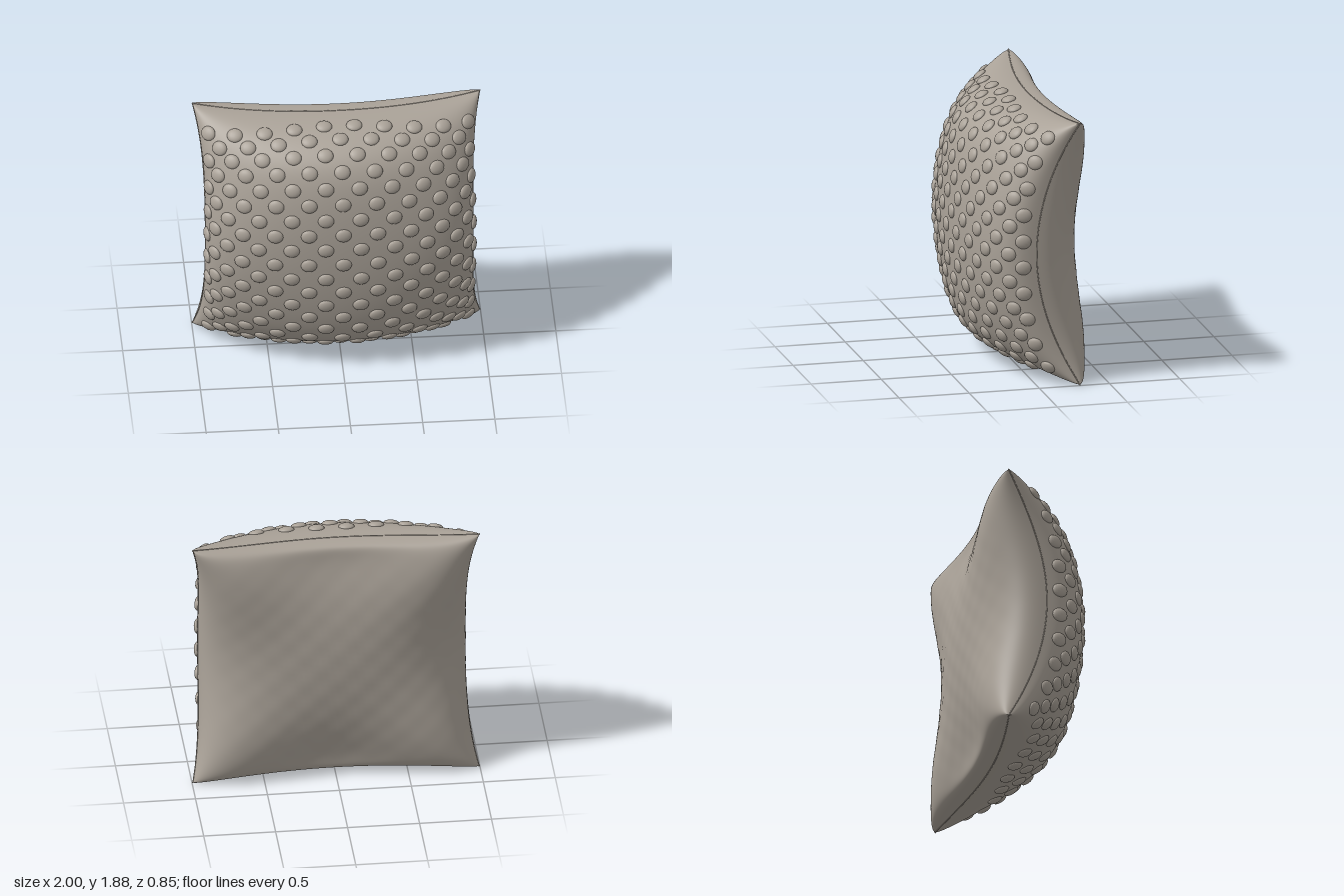
import * as THREE from 'three';

const SEG = 96;          // grid steps per cloth panel
const mix = (a, b, t) => a + (b - a) * t;

// A point on the cushion: u, v run -1..1 across the panel, seam at the rim
function cushionPoint(u, v, front) {
  const uu = u * u, vv = v * v;
  const x = u * (0.927 + 0.067 * vv * vv * uu);
  const y = 0.944 + v * (0.904 + 0.03 * uu * uu * vv);
  const seam = -0.29 * uu * vv - 0.17 * v ** 10 * (1 - uu);
  const fill = Math.max(0, (1 - uu) * (1 - vv));
  let z;
  if (front) {
    z = seam + 0.405 * fill ** 0.33;
  } else {
    // rounded back, fuller along the diagonals, with a faint quilted imprint
    const quilt = 0.003 * Math.cos(u * 26) * Math.cos(v * 26) * fill;
    z = seam - 0.425 * fill ** 0.35 - 0.9 * uu * vv * fill + quilt;
  }
  return new THREE.Vector3(x, y, z);
}

// Grid lines crowd toward the rim, where the cloth turns steeply
const ease = (s) => Math.sign(s) * (1 - (1 - Math.abs(s)) ** 2.2);

function panelGeometry(front) {
  const pos = [], idx = [], n = SEG + 1;
  for (let j = 0; j <= SEG; j++) {
    for (let i = 0; i <= SEG; i++) {
      const p = cushionPoint(ease((2 * i) / SEG - 1), ease((2 * j) / SEG - 1), front);
      pos.push(p.x, p.y, p.z);
      if (i < SEG && j < SEG) {
        const a = j * n + i, b = a + 1, c = a + n, d = c + 1;
        if (front) idx.push(a, b, d, a, d, c);
        else idx.push(a, d, b, a, c, d);
      }
    }
  }
  const g = new THREE.BufferGeometry();
  g.setAttribute('position', new THREE.Float32BufferAttribute(pos, 3));
  g.setIndex(idx);
  g.computeVertexNormals();
  return g;
}

// Turns distance along a mid section of the front into u (or v);
// also returns the section's full length
function arcTable(section) {
  const steps = 400, arc = [0];
  for (let k = 1; k <= steps; k++) {
    arc.push(arc[k - 1] + section(ease((k - 1) / steps)).distanceTo(section(ease(k / steps))));
  }
  const at = (d) => Math.sign(d) * ease(arc.findIndex((len) => len >= Math.abs(d)) / steps);
  return { at, length: arc[steps] };
}

export function createModel() {
  const model = new THREE.Group();
  model.name = 'cushion';
  const fabric = new THREE.MeshStandardMaterial({ color: 0xaaa298 });
  fabric.name = 'taupe fabric';

  const add = (geometry, name, parent = model) => {
    const mesh = new THREE.Mesh(geometry, fabric);
    mesh.name = name;
    parent.add(mesh);
    return mesh;
  };

  // Two cloth panels meeting at the seam
  add(panelGeometry(true), 'frontPanel');
  add(panelGeometry(false), 'backPanel');

  // Thin seam ridge along each side
  const sides = [(t) => [t, -1], (t) => [1, t], (t) => [-t, 1], (t) => [-1, -t]];
  for (const side of sides) {
    const pts = [];
    for (let k = 0; k <= 16; k++) pts.push(cushionPoint(...side(k / 8 - 1), true));
    add(new THREE.TubeGeometry(new THREE.CatmullRomCurve3(pts), 40, 0.004, 6), 'seam');
  }

  // Rounded corner tips
  for (const u of [-1, 1]) {
    for (const v of [-1, 1]) {
      add(new THREE.SphereGeometry(0.006, 10, 8), 'cornerTip').position.copy(cushionPoint(u, v, true));
    }
  }

  // Staggered raised dots over the front panel
  const dots = new THREE.Group();
  dots.name = 'raisedDots';
  model.add(dots);
  const dotGeometry = new THREE.SphereGeometry(1, 16, 10);
  const across = arcTable((t) => cushionPoint(t, 0, true));
  const upward = arcTable((t) => cushionPoint(0, t, true));
  const e = 0.004;
  for (let j = -9; j <= 9; j++) {
    for (let i = -9; i <= 9; i++) {
      if ((i + j) % 2 !== 0) continue;
      // rows follow the curve mid-panel and flatten toward the rim
      const du = 0.1195 * i - 0.00006 * i ** 3, dv = 0.12 * j;
      const a = du / across.length, b = dv / upward.length;
      const u = mix(across.at(du), a, b * b);
      const v = mix(upward.at(dv), b, a * a);
      const right = cushionPoint(u + e, v, true).sub(cushionPoint(u - e, v, true)).normalize();
      const up = cushionPoint(u, v + e, true).sub(cushionPoint(u, v - e, true));
      const normal = right.clone().cross(up).normalize();
      const dot = add(dotGeometry, 'dot', dots);
      dot.quaternion.setFromRotationMatrix(
        new THREE.Matrix4().makeBasis(right, normal.clone().cross(right), normal));
      dot.scale.set(0.056, 0.05, 0.024);
      dot.position.copy(cushionPoint(u, v, true));
    }
  }
  return model;
}
